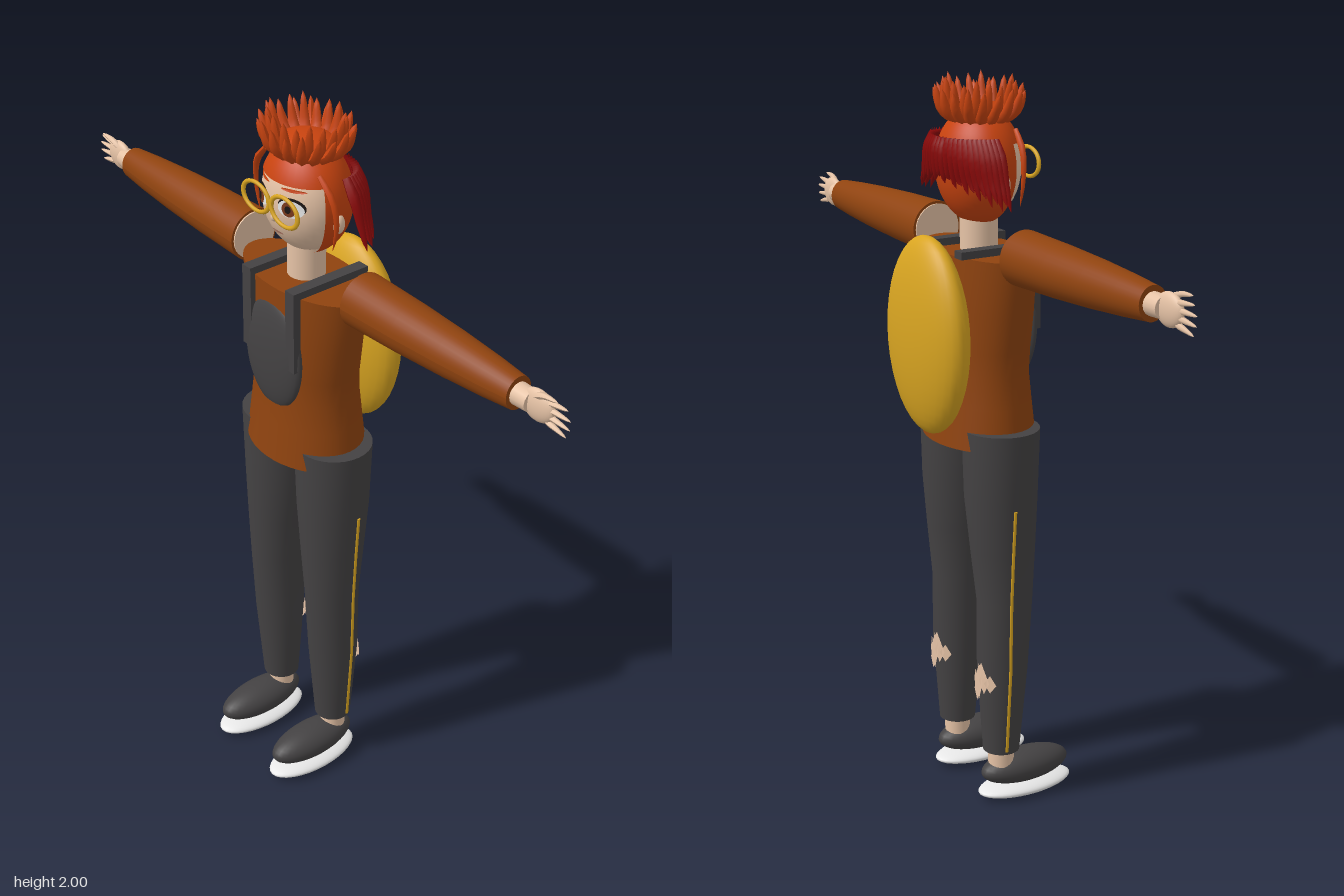
import * as THREE from 'three';

const mat = (name, color, double) => {
  const m = new THREE.MeshStandardMaterial({ color });
  m.name = name;
  if (double) m.side = THREE.DoubleSide;
  return m;
};

export function createModel() {
  const M = {
    jacket: mat('brown jacket', 0x8f430f),
    dark: mat('charcoal cloth', 0x444243),
    skin: mat('skin', 0xe6c3a6, true),
    hair: mat('orange hair', 0xc8430f, true),
    darkHair: mat('dark red hair', 0x8a0808),
    gold: mat('gold', 0xd9a521),
    white: mat('white', 0xeeeeee),
    iris: mat('brown iris', 0x7a3a1c),
    black: mat('black', 0x1c1614),
    lip: mat('lip', 0xb9806c),
  };
  const root = new THREE.Group();
  root.name = 'figure';
  const add = (name, geo, material, x = 0, y = 0, z = 0) => {
    const m = new THREE.Mesh(geo, material);
    m.name = name;
    m.position.set(x, y, z);
    root.add(m);
    return m;
  };
  const ball = (name, material, c, r) =>
    add(name, new THREE.SphereGeometry(1, 32, 20).scale(...r), material, ...c);

  // Elliptical sections listed from top to bottom: [y, cx, cz, rx, rz]
  const loft = (rows, sides = 32) => {
    const n = rows.length - 1;
    const g = new THREE.CylinderGeometry(1, 1, 1, sides, n);
    const p = g.attributes.position;
    for (let i = 0; i < p.count; i++) {
      const [y, cx, cz, rx, rz] = rows[Math.round((0.5 - p.getY(i)) * n)];
      p.setXYZ(i, cx + p.getX(i) * rx, y, cz + p.getZ(i) * rz);
    }
    g.computeVertexNormals();
    return g;
  };

  // Curved strand that tapers to a point
  const strand = (pts, r) => {
    const curve = new THREE.CatmullRomCurve3(pts.map(a => new THREE.Vector3(...a)));
    const n = 8, k = 6;
    const g = new THREE.TubeGeometry(curve, n, r, k);
    const p = g.attributes.position, v = new THREE.Vector3();
    for (let i = 0; i < p.count; i++) {
      const t = Math.floor(i / (k + 1)) / n;
      v.fromBufferAttribute(p, i).lerp(curve.getPointAt(t), 1 - Math.sqrt(Math.max(0, 1 - t)) * (0.6 + 0.4 * Math.min(1, t * 4)));
      p.setXYZ(i, v.x, v.y, v.z);
    }
    g.computeVertexNormals();
    return g;
  };

  // Torso, backpack and chest pouch
  add('jacket', loft([
    [1.55, 0, 0.005, 0.215, 0.112], [1.4, 0, 0.005, 0.19, 0.115], [1.3, 0, 0.003, 0.172, 0.115],
    [1.23, 0, 0, 0.166, 0.118], [1.15, 0, 0, 0.175, 0.126], [1.04, 0, 0, 0.188, 0.138],
  ], 40), M.jacket);
  ball('backpack', M.gold, [0, 1.335, -0.155], [0.182, 0.265, 0.07]);
  ball('chestPouch', M.dark, [0, 1.35, 0.107], [0.11, 0.16, 0.03]);
  add('neck', new THREE.CylinderGeometry(0.05, 0.05, 0.13, 24), M.skin, 0, 1.6, 0);

  for (const s of [-1, 1]) {
    // Shoulder strap
    add('strapFront', new THREE.BoxGeometry(0.034, 0.23, 0.022), M.dark, s * 0.088, 1.455, 0.115);
    add('strapTop', new THREE.BoxGeometry(0.034, 0.02, 0.24), M.dark, s * 0.088, 1.56, 0.005);

    // Trouser leg with side stripe
    add('trouserLeg', loft([
      [1.09, s * 0.112, 0, 0.106, 0.104], [0.9, s * 0.113, 0, 0.096, 0.1], [0.75, s * 0.117, 0.004, 0.083, 0.09],
      [0.6, s * 0.121, 0.008, 0.071, 0.078], [0.4, s * 0.121, 0.002, 0.068, 0.071], [0.15, s * 0.12, 0, 0.051, 0.051],
    ]), M.dark);
    add('sideStripe', loft([
      [0.88, s * 0.208, -0.012, 0.003, 0.005], [0.75, s * 0.199, -0.012, 0.003, 0.005],
      [0.6, s * 0.191, -0.012, 0.003, 0.005], [0.4, s * 0.188, -0.012, 0.003, 0.005],
      [0.16, s * 0.171, -0.012, 0.003, 0.005],
    ], 8), M.gold);

    // Torn patch on the calf: a cluster of diamonds around the back of the leg
    for (const [a, y, h] of [[0, 0.37, 0.055], [0.3, 0.365, 0.036], [-0.3, 0.375, 0.036],
      [0.58, 0.37, 0.026], [-0.58, 0.372, 0.026], [0.15, 0.34, 0.03], [-0.15, 0.4, 0.03]]) {
      const d = add('tornPatch', new THREE.CircleGeometry(1, 4).scale(0.019, h, 1), M.skin,
        s * 0.121 + Math.sin(a) * 0.071, y, -Math.cos(a) * 0.073);
      d.rotation.y = Math.PI - a;
    }

    // Foot
    add('ankle', new THREE.CylinderGeometry(0.036, 0.036, 0.1, 20), M.skin, s * 0.12, 0.12, 0);
    ball('shoe', M.dark, [s * 0.12, 0.08, 0.078], [0.059, 0.047, 0.138]);
    ball('sole', M.white, [s * 0.12, 0.022, 0.078], [0.068, 0.022, 0.147]);

    // Sleeve lying along x
    const turn = -s * Math.PI / 2;
    add('sleeve', loft([
      [0.77, 0, 0, 0.044, 0.04], [0.68, 0, 0, 0.052, 0.05], [0.55, 0, 0, 0.061, 0.06],
      [0.4, 0, 0, 0.068, 0.068], [0.22, 0, 0, 0.073, 0.073],
    ]).rotateZ(turn), M.jacket, 0, 1.565, 0);
    add('shoulderEnd', new THREE.CylinderGeometry(0.066, 0.066, 0.006, 28).rotateZ(turn), M.skin, s * 0.219, 1.565, 0);

    // Hand
    add('wrist', new THREE.CylinderGeometry(0.028, 0.03, 0.06, 16).rotateZ(turn), M.skin, s * 0.785, 1.565, 0);
    ball('palm', M.skin, [s * 0.835, 1.565, 0], [0.05, 0.042, 0.018]);
    for (let i = 0; i < 4; i++) {
      const k = i - 1.5;
      add('finger', strand([[s * 0.855, 1.562 + k * 0.016, 0], [s * 0.9, 1.56 + k * 0.021, 0],
        [s * (0.942 - Math.abs(k) * 0.01), 1.558 + k * 0.024, 0]], 0.0095), M.skin);
    }
    add('thumb', strand([[s * 0.82, 1.585, 0.005], [s * 0.86, 1.605, 0.01], [s * 0.905, 1.61, 0.012]], 0.011), M.skin);
  }

  // Head and hair shell
  const H = [0, 1.77, 0], R = [0.124, 0.146, 0.105];
  ball('head', M.skin, H, R);
  const shell = R.map(r => r * 1.05);
  add('hairTop', new THREE.SphereGeometry(1, 36, 12, 0, Math.PI * 2, 0, 1.14).scale(...shell), M.hair, ...H);
  add('hairBack', new THREE.SphereGeometry(1, 32, 24, Math.PI - 0.36, Math.PI + 0.72, 0, Math.PI * 0.88)
    .scale(...shell), M.hair, ...H);

  // Crown of upright spikes in two rings
  ball('crownBase', M.hair, [0, 1.9, 0], [0.088, 0.035, 0.08]);
  for (let ring = 0; ring < 2; ring++) {
    for (let i = 0; i < 18; i++) {
      const a = (i + ring * 0.5) / 18 * Math.PI * 2, c = Math.cos(a), d = Math.sin(a);
      const top = (ring ? 1.965 : 1.985) + (i % 3) * 0.007, out = ring ? 0.138 : 0.112;
      add('crownSpike', strand([[c * 0.055, 1.885, d * 0.05], [c * out * 0.78, 1.915, d * out * 0.68],
        [c * out, top, d * out * 0.8]], 0.019), M.hair);
    }
  }

  // Dark under-layer falling around the back and sides
  for (let i = 0; i <= 26; i++) {
    const a = Math.PI + (i / 26) * Math.PI, c = Math.cos(a), d = Math.sin(a);
    const side = Math.abs(c), low = 1.735 - 0.055 * side * side + (i % 2) * 0.014;
    add('backLock', strand([[c * 0.122, 1.85, d * 0.085 - 0.025], [c * 0.155, 1.8, d * 0.092 - 0.026],
      [c * 0.175, 1.745, d * 0.09 - 0.027], [c * 0.203, low, d * 0.088 - 0.028]], 0.018), M.darkHair);
  }

  // Draw a round plate onto the curve of the face
  const onFace = (name, material, x, y, rx, ry, lift) => {
    const g = new THREE.CircleGeometry(1, 24), p = g.attributes.position;
    for (let i = 0; i < p.count; i++) {
      const px = x + p.getX(i) * rx, py = y + p.getY(i) * ry;
      const q = 1 - (px / R[0]) ** 2 - ((py - H[1]) / R[1]) ** 2;
      p.setXYZ(i, px, py, R[2] * Math.sqrt(Math.max(0, q)) + lift);
    }
    g.computeVertexNormals();
    add(name, g, material);
  };
  for (const s of [-1, 1]) {
    onFace('lashes', M.black, s * 0.055, 1.782, 0.036, 0.024, 0.002);
    onFace('eyeWhite', M.white, s * 0.055, 1.777, 0.034, 0.023, 0.004);
    onFace('iris', M.iris, s * 0.053, 1.777, 0.018, 0.02, 0.006);
    onFace('pupil', M.black, s * 0.053, 1.777, 0.008, 0.01, 0.008);
    onFace('eyebrow', M.hair, s * 0.055, 1.824, 0.032, 0.004, 0.003);
    ball('ear', M.skin, [s * 0.126, 1.735, 0], [0.014, 0.026, 0.016]);
    add('sideStrand', strand([[s * 0.105, 1.87, 0.045], [s * 0.148, 1.82, 0.04], [s * 0.16, 1.75, 0.035],
      [s * 0.145, 1.68, 0.035]], 0.011), M.hair);
    // Round spectacle rim
    add('glassesRim', new THREE.TorusGeometry(0.049, 0.007, 8, 36).scale(1.06, 0.78, 0.7), M.gold, s * 0.056, 1.776, 0.115);
  }
  add('glassesBridge', new THREE.BoxGeometry(0.02, 0.009, 0.008), M.gold, 0, 1.782, 0.115);
  ball('nose', M.skin, [0, 1.738, 0.102], [0.009, 0.012, 0.01]);
  onFace('mouth', M.lip, 0, 1.695, 0.022, 0.004, 0.003);

  return root;
}
